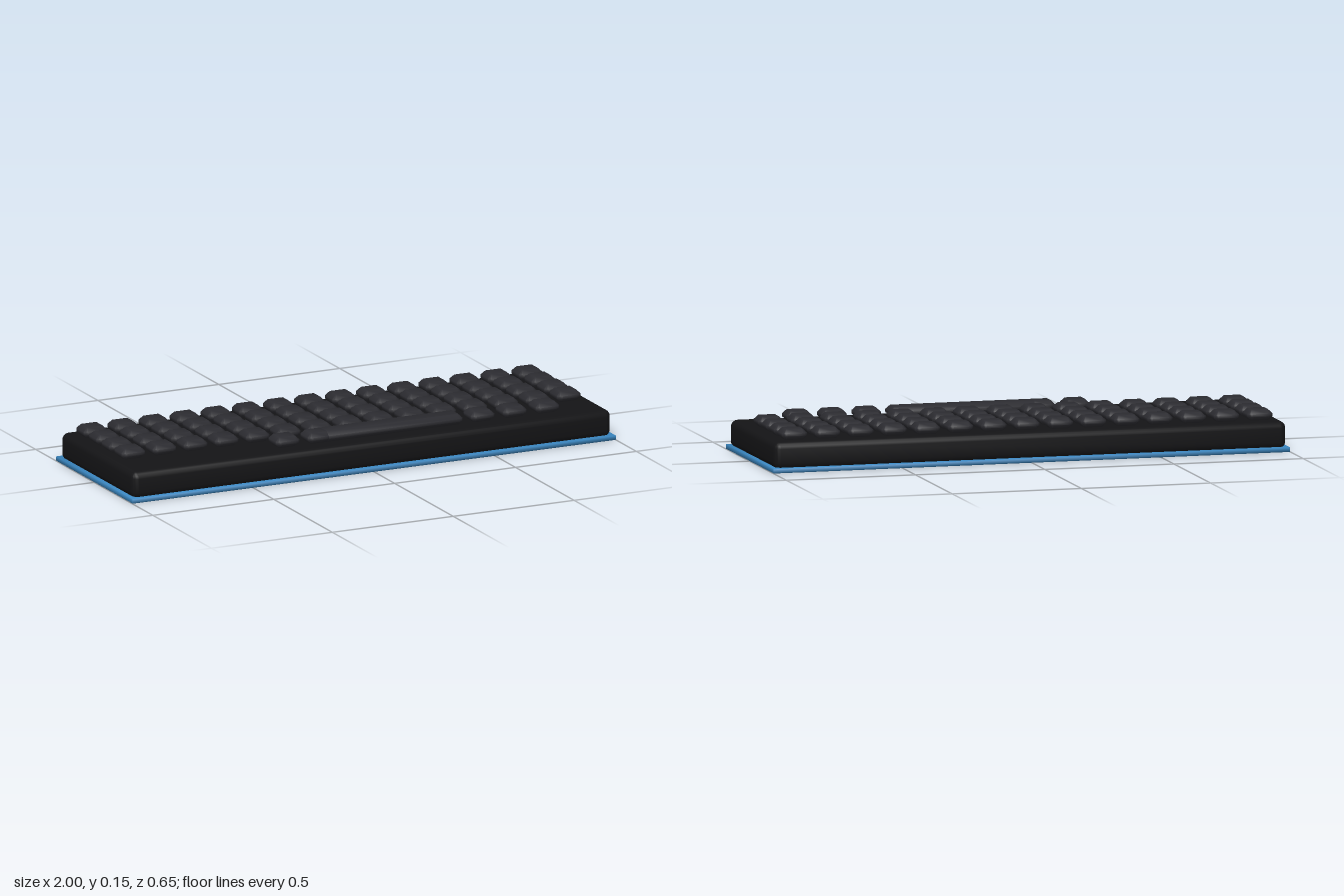
import * as THREE from 'three';
import { toCreasedNormals } from 'three/addons/utils/BufferGeometryUtils.js';

// Lying slab with rounded corners and bevelled top and bottom rims, standing on y = 0
function slab(w, h, d, { corner, inset, rise, steps, curve }) {
  const x = w / 2 - inset - corner;
  const y = d / 2 - inset - corner;
  const q = Math.PI / 2;
  const shape = new THREE.Shape();
  shape.absarc(x, y, corner, 0, q);
  shape.absarc(-x, y, corner, q, 2 * q);
  shape.absarc(-x, -y, corner, 2 * q, 3 * q);
  shape.absarc(x, -y, corner, 3 * q, 4 * q);
  shape.closePath();
  const geo = new THREE.ExtrudeGeometry(shape, {
    depth: h - 2 * rise, bevelSize: inset, bevelThickness: rise,
    bevelSegments: steps, curveSegments: curve,
  });
  geo.translate(0, 0, rise);
  geo.rotateX(-Math.PI / 2);
  return toCreasedNormals(geo, 0.9);
}

export function createModel() {
  const model = new THREE.Group();
  model.name = 'keyboard';
  const blue = new THREE.MeshStandardMaterial({ color: 0x3a86c0 });
  const black = new THREE.MeshStandardMaterial({ color: 0x141416 });
  const charcoal = new THREE.MeshStandardMaterial({ color: 0x2c2c31 });

  function add(name, geo, material, x, y, z) {
    const mesh = new THREE.Mesh(geo, material);
    mesh.name = name;
    mesh.position.set(x, y, z);
    model.add(mesh);
  }

  // Base plate and case
  add('basePlate', slab(2, 0.018, 0.653, { corner: 0.001, inset: 0.002, rise: 0.002, steps: 1, curve: 1 }), blue, 0, 0, 0);
  add('case', slab(1.98, 0.103, 0.63, { corner: 0.004, inset: 0.025, rise: 0.025, steps: 4, curve: 4 }), black, 0, 0.01, 0);

  // Keys: chamfered blocks resting on the case
  const keyStyle = { corner: 0.003, inset: 0.017, rise: 0.0155, steps: 1, curve: 2 };
  const keyY = 0.112;
  const keyGeo = slab(0.098, 0.042, 0.09, keyStyle);
  for (let row = 0; row < 4; row++) {
    for (let col = 0; col < 15; col++) {
      add('key', keyGeo, charcoal, -0.902 + col * 0.1286, keyY, -0.2235 + row * 0.108);
    }
  }

  // Bottom row with the space bar
  const frontZ = 0.209;
  for (const x of [-0.317, -0.185, 0.49, 0.623, 0.758]) add('bottomRowKey', keyGeo, charcoal, x, keyY, frontZ);
  add('spaceBar', slab(0.577, 0.042, 0.09, keyStyle), charcoal, 0.119, keyY, frontZ);

  return model;
}
